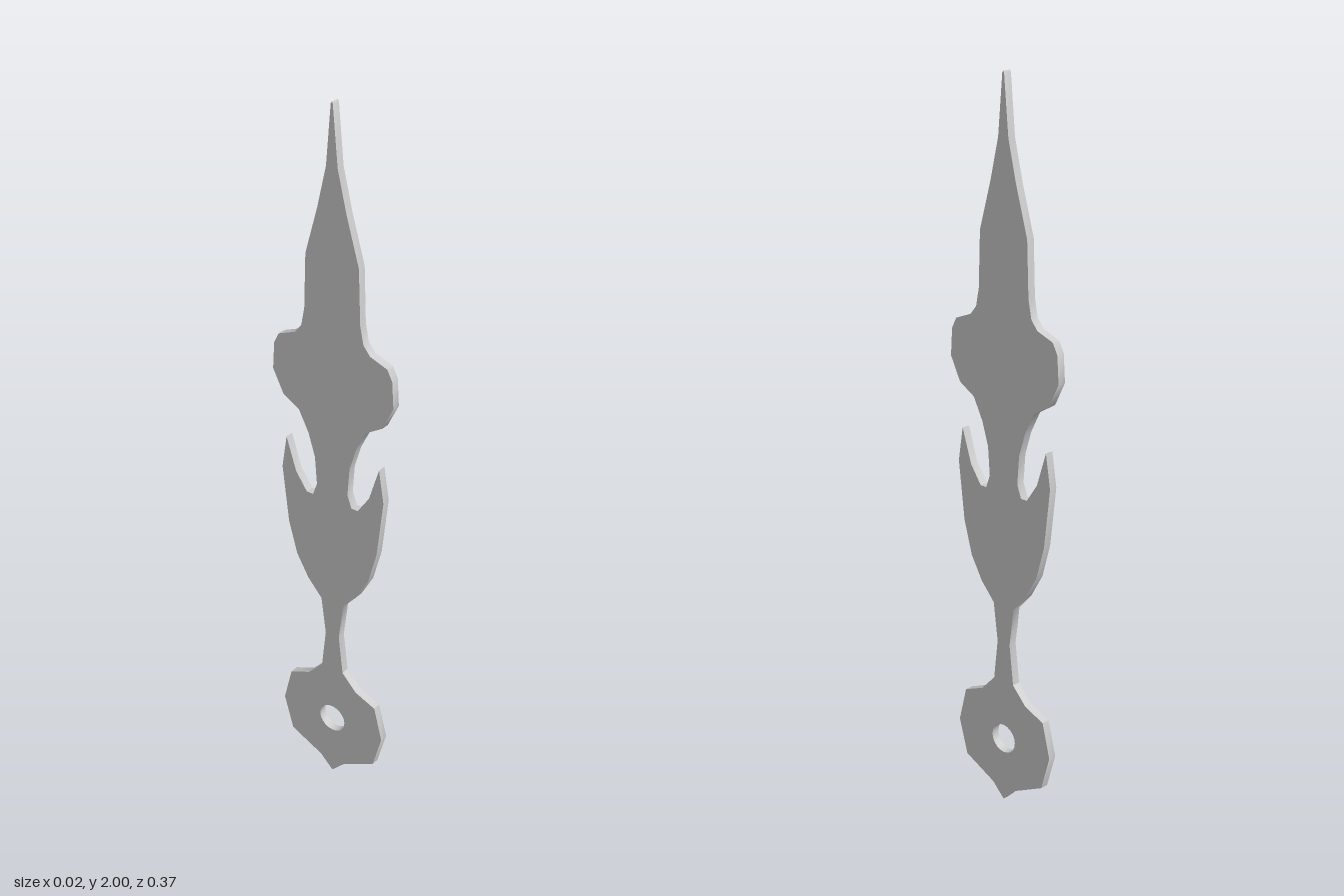
import * as THREE from 'three';
import { toCreasedNormals } from 'three/addons/utils/BufferGeometryUtils.js';

const THICKNESS = 0.024;

// Half outline as [distance from the centre line, height], bottom to top
const HALF = [
  // pivot plate
  [0, 0], [0.04, 0.04], [0.14, 0.09], [0.168, 0.19], [0.143, 0.29], [0.08, 0.317],
  // narrow stem
  [0.035, 0.365], [0.022, 0.48], [0.036, 0.59],
  // leaf with its free pointed tip
  [0.08, 0.64], [0.117, 0.705], [0.143, 0.8], [0.162, 0.965], [0.147, 1.06],
  // notch between leaf and neck
  [0.117, 0.965], [0.082, 0.914], [0.062, 0.914], [0.049, 0.95], [0.055, 1.03],
  // neck and rounded lobe
  [0.075, 1.095], [0.105, 1.155], [0.155, 1.185], [0.187, 1.25], [0.182, 1.325],
  [0.167, 1.355], [0.115, 1.375], [0.095, 1.4], [0.085, 1.45],
  // long pointed blade
  [0.08, 1.6], [0.043, 1.73], [0.017, 1.84], [0.003, 1.995], [0, 2],
];

export function createModel() {
  const group = new THREE.Group();
  group.name = 'clockHand';

  // Mirror the half outline into a closed shape
  const right = HALF.map(([w, y]) => new THREE.Vector2(w, y));
  const left = HALF.slice(1, -1).reverse().map(([w, y]) => new THREE.Vector2(-w, y));
  const shape = new THREE.Shape([...right, ...left]);

  // Round pivot hole
  const hole = new THREE.Path();
  hole.absarc(0, 0.19, 0.042, 0, Math.PI * 2, true);
  shape.holes.push(hole);

  // Flat plate standing in the y-z plane
  const plate = new THREE.ExtrudeGeometry(shape, {
    depth: THICKNESS, bevelEnabled: false, curveSegments: 10,
  });
  plate.translate(0, 0, -THICKNESS / 2);
  plate.rotateY(-Math.PI / 2);

  const hand = new THREE.Mesh(
    toCreasedNormals(plate, 0.6),
    new THREE.MeshStandardMaterial({ color: 0xcccccc }),
  );
  hand.name = 'handPlate';
  group.add(hand);
  return group;
}
